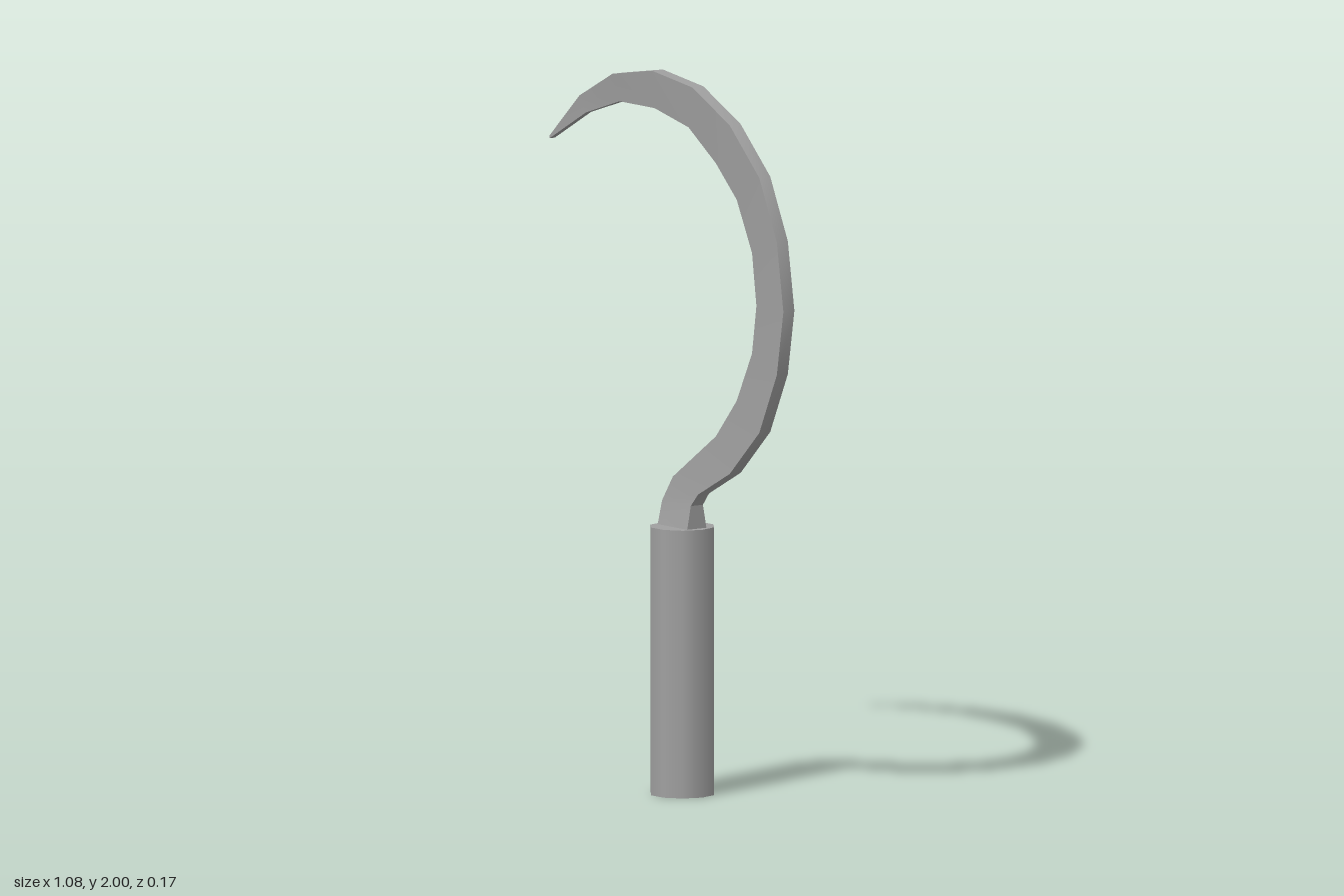
import * as THREE from 'three';
import { toCreasedNormals } from 'three/addons/utils/BufferGeometryUtils.js';

// Blade stations: [outer x, outer y, inner x, inner y, outer half thickness, inner half thickness]
const STATIONS = [
  [0.12, 0.745, -0.015, 0.745, 0.033, 0.033],
  [0.12, 0.81, -0.015, 0.81, 0.021, 0.018],
  [0.15, 0.845, 0.025, 0.88, 0.019, 0.011],
  [0.295, 0.92, 0.22, 1.015, 0.019, 0.01],
  [0.43, 1.05, 0.315, 1.125, 0.019, 0.01],
  [0.51, 1.22, 0.385, 1.265, 0.019, 0.01],
  [0.54, 1.4, 0.405, 1.4, 0.019, 0.01],
  [0.51, 1.59, 0.385, 1.545, 0.019, 0.01],
  [0.43, 1.76, 0.315, 1.685, 0.019, 0.01],
  [0.295, 1.89, 0.22, 1.775, 0.019, 0.01],
  [0.125, 1.975, 0.095, 1.86, 0.019, 0.01],
  [-0.06, 2.0, -0.06, 1.895, 0.019, 0.01],
  [-0.24, 1.97, -0.22, 1.895, 0.019, 0.01],
  [-0.4, 1.89, -0.375, 1.845, 0.012, 0.009],
  [-0.54, 1.762, -0.54, 1.754, 0.009, 0.009],
];

// Skins four-cornered cross-sections into a closed blade with crisp edges
function bladeGeometry() {
  const positions = [];
  for (const [ox, oy, ix, iy, to, ti] of STATIONS) {
    positions.push(ox, oy, to, ox, oy, -to, ix, iy, -ti, ix, iy, ti);
  }
  const index = [0, 2, 1, 0, 3, 2]; // base cap
  for (let i = 0; i < STATIONS.length - 1; i++) {
    for (let k = 0; k < 4; k++) {
      const a = i * 4 + k;
      const b = i * 4 + ((k + 1) % 4);
      index.push(a, b, b + 4, a, b + 4, a + 4);
    }
  }
  const t = (STATIONS.length - 1) * 4;
  index.push(t, t + 1, t + 2, t, t + 2, t + 3); // tip cap
  const geometry = new THREE.BufferGeometry();
  geometry.setAttribute('position', new THREE.Float32BufferAttribute(positions, 3));
  geometry.setIndex(index);
  return toCreasedNormals(geometry, 0.7);
}

export function createModel() {
  const group = new THREE.Group();
  group.name = 'sickle';
  const grey = new THREE.MeshStandardMaterial({ color: 0xa0a0a0 });
  grey.name = 'grey';

  // Ten-sided grip with corners pointing along x
  const handle = new THREE.Mesh(new THREE.CylinderGeometry(0.091, 0.091, 0.745, 10), grey);
  handle.name = 'handle';
  handle.rotation.y = Math.PI / 2;
  handle.position.set(0.054, 0.3725, 0);
  group.add(handle);

  // Neck and curved blade in one piece
  const blade = new THREE.Mesh(bladeGeometry(), grey);
  blade.name = 'blade';
  group.add(blade);

  return group;
}
